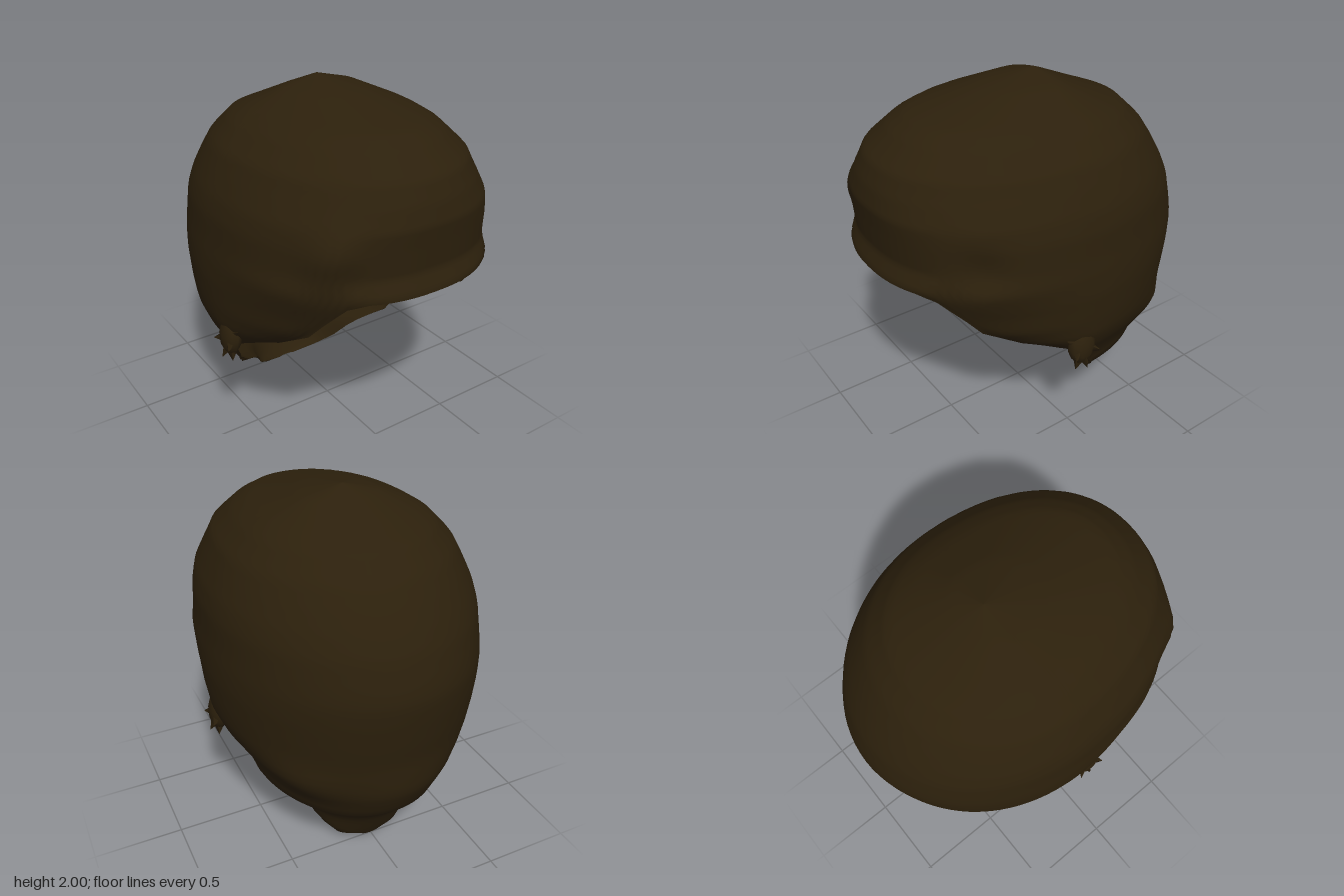
import * as THREE from 'three';

// Horizontal sections: y, half width, front z, middle z, back z
const SECTIONS = [
  [0.0, 0.05, -0.48, -0.49, -0.5], [0.02, 0.15, -0.45, -0.46, -0.515], [0.06, 0.22, -0.4, -0.42, -0.535],
  [0.13, 0.28, -0.33, -0.34, -0.57], [0.23, 0.33, -0.24, -0.26, -0.62], [0.31, 0.42, -0.17, -0.19, -0.69],
  [0.37, 0.53, -0.09, -0.11, -0.76], [0.46, 0.56, -0.03, -0.06, -0.81], [0.57, 0.62, 0.12, -0.02, -0.86],
  [0.68, 0.69, 0.36, 0, -0.87], [0.78, 0.73, 0.6, 0, -0.875], [0.9, 0.745, 0.8, 0, -0.895],
  [1.05, 0.755, 0.89, 0, -0.915], [1.17, 0.75, 0.93, 0, -0.925], [1.26, 0.74, 0.89, 0, -0.91],
  [1.4, 0.73, 0.9, 0, -0.87], [1.5, 0.705, 0.91, 0, -0.82], [1.6, 0.66, 0.885, 0, -0.76],
  [1.7, 0.61, 0.84, 0, -0.69], [1.81, 0.5, 0.71, -0.02, -0.57], [1.86, 0.42, 0.62, -0.04, -0.44],
  [1.95, 0.21, 0.2, -0.08, -0.22], [2.0, 0, -0.1, -0.1, -0.1],
];

// Height of the lower edge by angle from the front, in degrees
const RIM = [
  [0, 1.16], [25, 1.155], [33, 1.12], [38, 1.02], [43, 0.9], [49, 0.78], [58, 0.7],
  [70, 0.63], [84, 0.57], [89, 0.46], [91, 0.2], [93, 0], [180, 0],
];

function lookUp(table, key, column) {
  let i = 1;
  while (i < table.length - 1 && table[i][0] < key) i++;
  const a = table[i - 1], b = table[i];
  const t = THREE.MathUtils.clamp((key - a[0]) / (b[0] - a[0]), 0, 1);
  return THREE.MathUtils.lerp(a[column], b[column], t);
}

// Soft round bump around an angle and a height
const bump = (angle, y, atAngle, atY, width, height) =>
  Math.exp(-(((angle - atAngle) / width) ** 2) - ((y - atY) / height) ** 2);

// Point on the shell at a height and an angle from the front
function shellPoint(y, angle) {
  const [w, front, mid, back] = [1, 2, 3, 4].map((c) => lookUp(SECTIONS, y, c));
  const s = Math.sin(angle), c = Math.cos(angle);
  // The brow is squarer than the rest
  const step = THREE.MathUtils.smoothstep;
  const power = c > 0 ? 1 - 0.13 * step(y, 1.0, 1.2) + 0.06 * step(y, 1.45, 1.65) : 1;
  const x = Math.sign(s) * Math.pow(Math.abs(s), power) * w;
  const z = mid + (c > 0 ? (front - mid) * Math.pow(c, power) : (mid - back) * c);
  // A swept lump on the right brow, a hollow at the left temple, a fuller left nape
  const signed = Math.atan2(s, c);
  const swell = 1 + 0.055 * bump(signed, y, -0.66, 1.38, 0.16, 0.11)
    - 0.03 * bump(signed, y, 0.85, 1.3, 0.15, 0.11) + 0.05 * bump(signed, y, 2.3, 0.63, 0.3, 0.12);
  return [x * swell, y, z * swell];
}

function shellGeometry(columns = 160, rings = 64) {
  const positions = [], index = [];
  for (let j = 0; j <= rings; j++) {
    const drop = 1 - Math.cos((j / rings) * Math.PI / 2);
    for (let i = 0; i < columns; i++) {
      // Columns crowd towards the sides, where the edge drops steeply
      const turn = (i / columns) * Math.PI * 2;
      const angle = turn + 0.42 * Math.sin(2 * turn);
      const degrees = THREE.MathUtils.radToDeg(Math.min(angle, Math.PI * 2 - angle));
      const y = 2 - (2 - lookUp(RIM, degrees, 1)) * drop;
      positions.push(...shellPoint(y, angle));
      if (j === rings) continue;
      const k = (i + 1) % columns;
      const a = j * columns + i, b = a + columns, c = (j + 1) * columns + k, d = j * columns + k;
      if (j > 0) index.push(a, b, d);
      index.push(b, c, d);
    }
  }
  const geometry = new THREE.BufferGeometry();
  geometry.setAttribute('position', new THREE.Float32BufferAttribute(positions, 3));
  geometry.setIndex(index);
  geometry.computeVertexNormals();
  return geometry;
}

// Ragged lock in front of the ear, with points along its lower and outer edge
function createTuft(side, material) {
  const tuft = new THREE.Group();
  tuft.name = side > 0 ? 'leftEarTuft' : 'rightEarTuft';
  const core = new THREE.Mesh(new THREE.IcosahedronGeometry(1, 1), material);
  core.name = 'tuftCore';
  core.scale.set(0.055, 0.12, 0.085);
  tuft.add(core);
  for (let i = 0; i < 7; i++) {
    const a = Math.PI * (0.4 + i * 0.2);
    const direction = new THREE.Vector3(side * (i % 2 ? 0.6 : 0.1), Math.cos(a), Math.sin(a) * 0.7).normalize();
    const lock = new THREE.Mesh(new THREE.ConeGeometry(0.035, 0.07, 4), material);
    lock.name = 'tuftLock';
    lock.position.copy(direction).multiply(core.scale);
    lock.quaternion.setFromUnitVectors(new THREE.Vector3(0, 1, 0), direction);
    tuft.add(lock);
  }
  tuft.position.set(side * 0.685, 0.72, 0.085);
  tuft.rotation.z = side * 0.1;
  return tuft;
}

export function createModel() {
  const model = new THREE.Group();
  model.name = 'hair';
  const brown = new THREE.MeshStandardMaterial({ color: 0x2c200c, side: THREE.DoubleSide });
  brown.name = 'darkBrown';

  const shell = new THREE.Mesh(shellGeometry(), brown);
  shell.name = 'hairShell';
  model.add(shell);

  for (const side of [1, -1]) model.add(createTuft(side, brown));
  return model;
}
